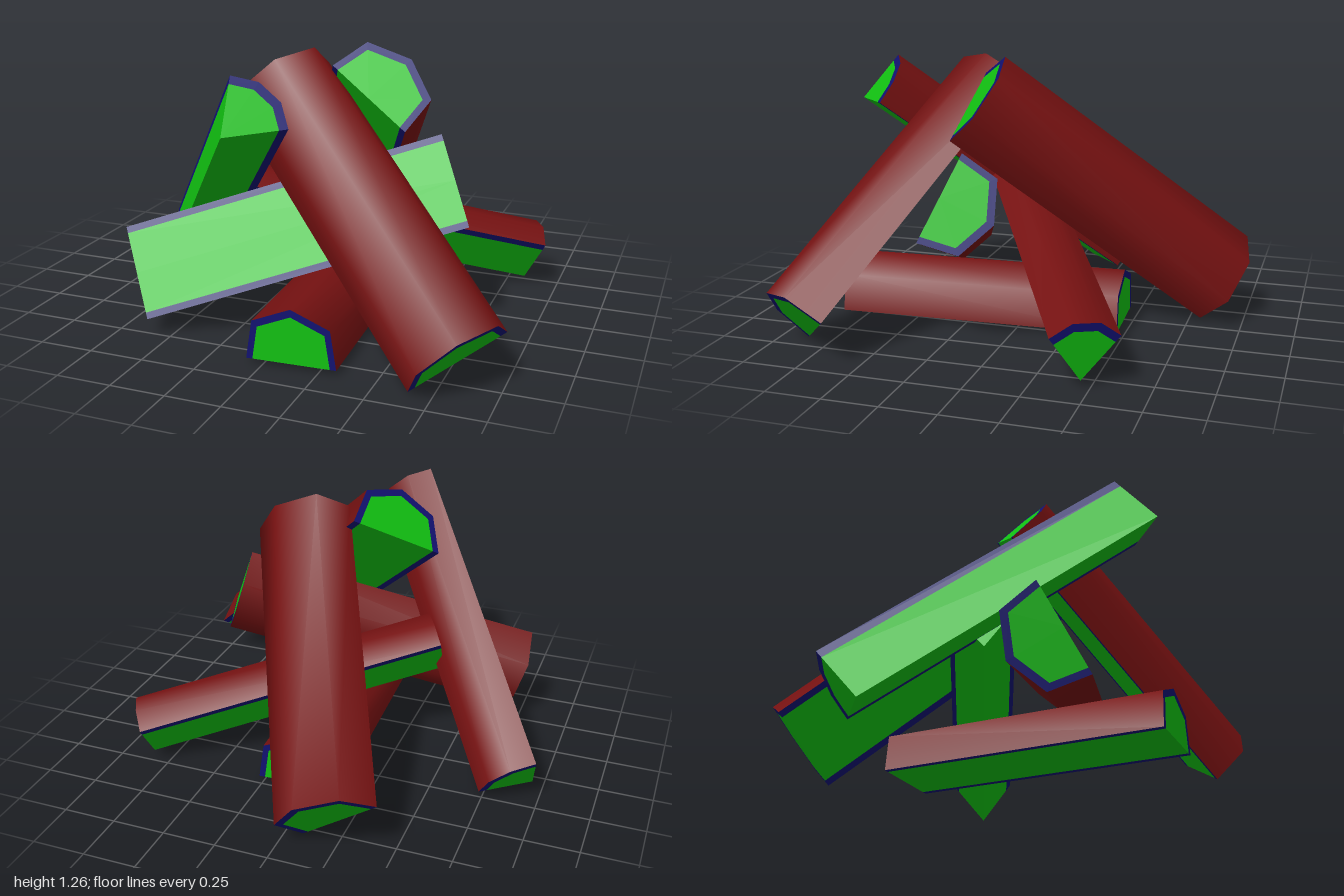
import * as THREE from 'three';

const material = (name, color, side = THREE.FrontSide) => {
  const m = new THREE.MeshStandardMaterial({ color, side });
  m.name = name;
  return m;
};

// Each log: centre line of the split (from, to), direction of the bark (mid),
// distance to the bark at the split edges (edge) and between them (radius),
// opening angle in degrees and number of bark facets
const LOGS = [
  { name: 'frontHalfLog', from: [-0.175, 1.055, 0.19], to: [0.815, 0.115, 0.75], mid: [0.045, 0.165, 0.2], edge: 0.236, radius: 0.265, sweep: 180, facets: 4 },
  { name: 'backHalfLog', from: [0.245, 1.045, 0.23], to: [-0.265, 0.155, -0.83], mid: [0.145, 0.165, -0.17], edge: 0.222, radius: 0.278, sweep: 180, facets: 4 },
  { name: 'crossHalfLog', from: [0.645, 0.71, 0.22], to: [-0.685, 0.27, 0.7], mid: [-0.035, -0.11, -0.23], edge: 0.215, radius: 0.262, sweep: 180, facets: 4 },
  { name: 'groundHalfLog', from: [0.13, 0.035, 0.86], to: [0.07, 0.035, -0.47], mid: [0, 1, 0], edge: 0.2, radius: 0.245, sweep: 180, facets: 4 },
  { name: 'rightWedgeLog', from: [-0.13, 1.0, 0.93], to: [-0.95, 0.03, -0.07], mid: [0.6, 0.785, -1.31], edge: 0.283, radius: 0.305, sweep: 70, facets: 3 },
  { name: 'backWedgeLog', from: [0.84, 0.04, -0.46], to: [-0.42, 0.4, 0.21], mid: [0.41, 1.58, -0.27], edge: 0.26, radius: 0.285, sweep: 70, facets: 3 },
];
const CORE = 0.86; // share of the radius taken by heartwood

// Flat faces from a list of corner loops
function flatFaces(faces) {
  const pos = [];
  for (const f of faces)
    for (let i = 1; i < f.length - 1; i++)
      for (const p of [f[0], f[i], f[i + 1]]) pos.push(p.x, p.y, p.z);
  const g = new THREE.BufferGeometry();
  g.setAttribute('position', new THREE.Float32BufferAttribute(pos, 3));
  g.computeVertexNormals();
  return g;
}

// Smooth strip between two matching rows of points
function smoothStrip(a, b) {
  const pos = [], index = [], n = a.length;
  for (const p of [...a, ...b]) pos.push(p.x, p.y, p.z);
  for (let i = 0; i < n - 1; i++) index.push(i, i + 1, n + i + 1, i, n + i + 1, n + i);
  const g = new THREE.BufferGeometry();
  g.setAttribute('position', new THREE.Float32BufferAttribute(pos, 3));
  g.setIndex(index);
  g.computeVertexNormals();
  return g;
}

function makeLog({ name, from, to, mid, edge, radius, sweep, facets }, mats) {
  const start = new THREE.Vector3(...from), end = new THREE.Vector3(...to);
  const axis = end.clone().sub(start).normalize();
  const m = new THREE.Vector3(...mid);
  m.addScaledVector(axis, -m.dot(axis)).normalize();
  const s = axis.clone().cross(m);

  // Arc of points round a centre, scaled towards it
  const arc = (centre, scale) => Array.from({ length: facets + 1 }, (_, i) => {
    const t = THREE.MathUtils.degToRad(sweep * (i / facets - 0.5));
    const r = scale * (i === 0 || i === facets ? edge : radius);
    return centre.clone().addScaledVector(m, r * Math.cos(t)).addScaledVector(s, r * Math.sin(t));
  });
  const so = arc(start, 1), si = arc(start, CORE), eo = arc(end, 1), ei = arc(end, CORE);
  const n = facets;

  // Heartwood: two cut ends and the two split faces
  const heart = [
    [end, ...ei],
    [start, ...[...si].reverse()],
    [start, si[0], ei[0], end],
    [start, end, ei[n], si[n]],
  ];
  // Sapwood: rim on the ends and strips along the split faces
  const sap = [
    [si[0], so[0], eo[0], ei[0]],
    [si[n], ei[n], eo[n], so[n]],
  ];
  for (let i = 0; i < n; i++) {
    sap.push([ei[i], eo[i], eo[i + 1], ei[i + 1]]);
    sap.push([si[i], si[i + 1], so[i + 1], so[i]]);
  }

  const log = new THREE.Group();
  log.name = name;
  const add = (part, geometry, mat) => {
    const mesh = new THREE.Mesh(geometry, mat);
    mesh.name = part;
    log.add(mesh);
  };
  add('bark', smoothStrip(so, eo), mats.bark);
  add('sapwood', flatFaces(sap), mats.sapwood);
  add('heartwood', flatFaces(heart), mats.heartwood);
  return log;
}

export function createModel() {
  const mats = {
    bark: material('bark', 0x751111),
    sapwood: material('sapwood', 0x111170),
    heartwood: material('heartwood', 0x11c011),
  };
  const model = new THREE.Group();
  model.name = 'firewoodPile';
  for (const spec of LOGS) model.add(makeLog(spec, mats));
  return model;
}
